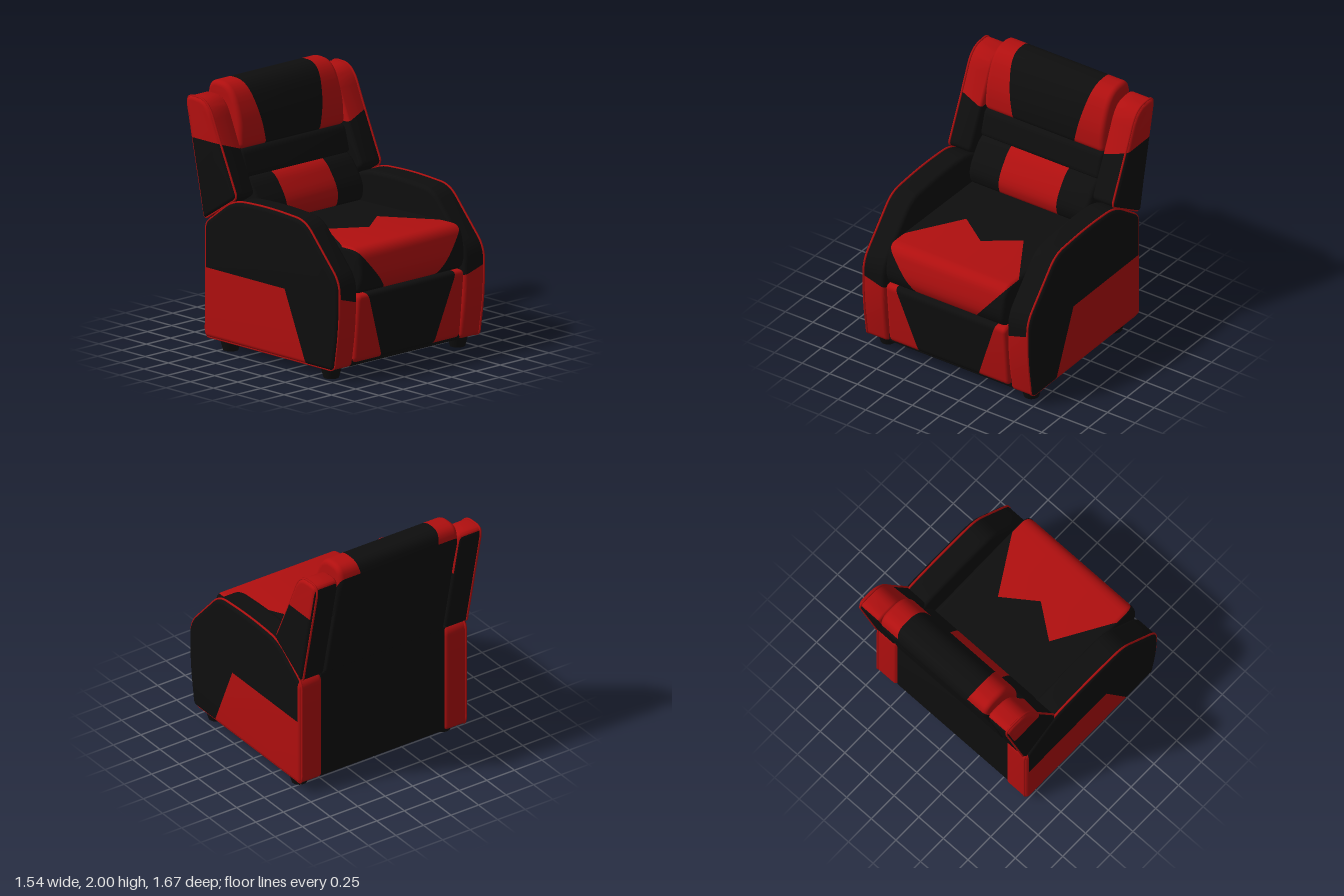
import * as THREE from 'three';
import { toCreasedNormals } from 'three/addons/utils/BufferGeometryUtils.js';

const black = new THREE.MeshStandardMaterial({ color: 0x0e0e0e });
black.name = 'black leather';
const red = new THREE.MeshStandardMaterial({ color: 0xb00f0f });
red.name = 'red leather';

// Closed outline in (z, y) with rounded corners; each point is [z, y, radius]
function outline(points) {
  const shape = new THREE.Shape();
  const n = points.length;
  points.forEach(([z, y, r], i) => {
    const p = new THREE.Vector2(z, y);
    const toward = ([qz, qy]) => {
      const d = new THREE.Vector2(qz, qy).sub(p);
      return p.clone().addScaledVector(d.normalize(), Math.min(r, 0.49 * Math.hypot(qz - z, qy - y)));
    };
    const a = toward(points[(i + n - 1) % n]);
    const b = toward(points[(i + 1) % n]);
    if (i === 0) shape.moveTo(a.x, a.y);
    else shape.lineTo(a.x, a.y);
    shape.quadraticCurveTo(z, y, b.x, b.y);
  });
  shape.closePath();
  return shape;
}

// Padded block: the outline extruded from x0 to x1 with soft edges
function padded(points, x0, x1, bevel) {
  const geo = new THREE.ExtrudeGeometry(outline(points), {
    depth: x1 - x0 - 2 * bevel, curveSegments: 8, bevelSegments: 5,
    bevelSize: bevel, bevelThickness: bevel, bevelOffset: -bevel,
  });
  geo.rotateY(-Math.PI / 2).translate(x1 - bevel, 0, 0);
  return toCreasedNormals(geo, 0.6);
}

// Cut a polygon by a linear function, returning its [positive, negative] pieces
function cut(poly, f) {
  const inside = [], outside = [];
  poly.forEach((a, i) => {
    const b = poly[(i + 1) % poly.length];
    const fa = f(a.p), fb = f(b.p);
    (fa >= 0 ? inside : outside).push(a);
    if ((fa >= 0) !== (fb >= 0)) {
      const t = fa / (fa - fb);
      const v = { p: a.p.clone().lerp(b.p, t), n: a.n.clone().lerp(b.n, t).normalize() };
      inside.push(v);
      outside.push(v);
    }
  });
  return [inside, outside];
}

// Two-tone upholstery: faces within any region (a list of linear limits) turn red.
// side = -1 mirrors the finished part.
function upholster(name, geo, regions = [], side = 1) {
  const pos = geo.attributes.position, nor = geo.attributes.normal;
  let plain = [];
  const painted = [];
  for (let i = 0; i < pos.count; i += 3) {
    plain.push([0, 1, 2].map((k) => ({
      p: new THREE.Vector3().fromBufferAttribute(pos, i + k),
      n: new THREE.Vector3().fromBufferAttribute(nor, i + k),
    })));
  }
  for (const limits of regions) {
    const rest = [];
    for (let poly of plain) {
      for (const f of limits) {
        const [inside, outside] = cut(poly, f);
        if (outside.length > 2) rest.push(outside);
        poly = inside;
        if (poly.length < 3) break;
      }
      if (poly.length > 2) painted.push(poly);
    }
    plain = rest;
  }
  const P = [], N = [];
  const out = new THREE.BufferGeometry();
  [plain, painted].forEach((polys, m) => {
    const start = P.length / 3;
    for (const poly of polys) {
      for (let k = 1; k < poly.length - 1; k++) {
        const tri = side > 0 ? [poly[0], poly[k], poly[k + 1]] : [poly[0], poly[k + 1], poly[k]];
        for (const { p, n } of tri) {
          P.push(p.x * side, p.y, p.z);
          N.push(n.x * side, n.y, n.z);
        }
      }
    }
    out.addGroup(start, P.length / 3 - start, m);
  });
  out.setAttribute('position', new THREE.Float32BufferAttribute(P, 3));
  out.setAttribute('normal', new THREE.Float32BufferAttribute(N, 3));
  const mesh = new THREE.Mesh(out, [black, red]);
  mesh.name = name;
  return mesh;
}

// Red cord following an outline at a given x
function piping(name, points, x) {
  const path = outline(points).getSpacedPoints(90).slice(0, -1).map((p) => new THREE.Vector3(x, p.y, p.x));
  const curve = new THREE.CatmullRomCurve3(path, true);
  const mesh = new THREE.Mesh(new THREE.TubeGeometry(curve, 180, 0.009, 6, true), red);
  mesh.name = name;
  return mesh;
}

const armOutline = [
  [0.765, 0.09, 0.04], [0.815, 0.42, 0.15], [0.82, 0.78, 0.1], [0.45, 1.19, 0.1], [0.05, 1.215, 0.2],
  [-0.32, 1.195, 0.12], [-0.625, 0.965, 0.05], [-0.625, 0.09, 0.035],
];
const wingOutline = [
  [-0.29, 1.215, 0.04], [-0.49, 1.65, 0.15], [-0.6, 1.91, 0.15], [-0.8, 1.92, 0.06],
  [-0.825, 1.87, 0.05], [-0.635, 0.995, 0.03],
];
const seatOutline = [
  [0.8, 0.65, 0.04], [0.845, 0.76, 0.1], [0.795, 0.995, 0.09], [0.55, 0.99, 0.1],
  [-0.42, 0.97, 0.05], [-0.42, 0.65, 0.05],
];
const pillowOutline = [
  [-0.46, 1.515, 0.05], [-0.47, 1.74, 0.15], [-0.58, 2.0, 0.15], [-0.8, 2.005, 0.08],
  [-0.84, 1.88, 0.07], [-0.75, 1.515, 0.05],
];

export function createModel() {
  const chair = new THREE.Group();
  chair.name = 'recliner';

  // Body between the arms, with the lower back panel
  const body = [
    [-0.61, 0.085, 0.02], [0.745, 0.085, 0.02], [0.76, 0.62, 0.02],
    [-0.4, 0.66, 0.02], [-0.45, 1.0, 0.02], [-0.61, 1.0, 0.02],
  ];
  chair.add(upholster('body', padded(body, -0.565, 0.565, 0.01)));

  // Footrest with red corners
  const footrest = [[0.775, 0.11, 0.05], [0.825, 0.645, 0.05], [0.6, 0.645, 0.05], [0.6, 0.11, 0.05]];
  chair.add(upholster('footrest', padded(footrest, -0.545, 0.545, 0.03), [1, -1].map((s) => [
    (p) => s * p.x - (0.27 + (p.y - 0.12) * 0.346),
  ])));

  // Seat cushion with a notched red front
  chair.add(upholster('seatCushion', padded(seatOutline, -0.54, 0.54, 0.035), [1, -1].map((s) => [
    (p) => s * p.x,
    (p) => p.z - (0.36 - s * p.x * 0.73),
    (p) => p.z - (0.17 + (s * p.x - 0.26) * 1.667),
    (p) => 0.26 + (p.y - 0.65) * 0.82 - s * p.x,
  ])));

  // Backrest shell, middle panel, lumbar cushion and head pillow
  const shell = [
    [-0.4, 0.98, 0.03], [-0.55, 1.88, 0.03], [-0.825, 1.88, 0.03], [-0.635, 0.99, 0.03],
  ];
  chair.add(upholster('backrestShell', padded(shell, -0.535, 0.535, 0.02)));
  const middle = [[-0.4, 1.31, 0.04], [-0.46, 1.525, 0.05], [-0.62, 1.525, 0.04], [-0.6, 1.31, 0.04]];
  chair.add(upholster('middlePanel', padded(middle, -0.54, 0.54, 0.03)));
  const lumbar = [
    [-0.27, 0.96, 0.05], [-0.24, 1.1, 0.12], [-0.4, 1.325, 0.1], [-0.58, 1.325, 0.04], [-0.55, 0.96, 0.04],
  ];
  chair.add(upholster('lumbarCushion', padded(lumbar, -0.54, 0.54, 0.035), [
    [(p) => 0.262 - p.x, (p) => p.x + 0.262],
  ]));
  chair.add(upholster('headPillow', padded(pillowOutline, -0.54, 0.54, 0.04), [1, -1].map((s) => [
    (p) => s * p.x - (0.275 + (p.y - 1.52) * 0.2),
    (p) => p.z + 0.82 + (p.y - 1.89) * 0.6,
  ])));

  for (const s of [1, -1]) {
    const label = s > 0 ? 'left' : 'right';

    // Arm: red front foot, rear side panel, back edge and underside
    chair.add(upholster(label + 'Arm', padded(armOutline, 0.555, 0.768, 0.032), [
      [(p) => p.z - 0.6, (p) => 0.738 - p.x, (p) => 0.6 + (p.x - 0.57) * 0.3 - p.y],
      [(p) => p.x - 0.66, (p) => 0.63 - p.y, (p) => 0.25 + (0.63 - p.y) * 0.426 - p.z],
      [(p) => -0.6 - p.z],
      [(p) => 0.094 - p.y],
    ], s));
    chair.add(piping(label + 'ArmPiping', armOutline, s * 0.743));

    // Backrest wing with a red upper part
    chair.add(upholster(label + 'Wing', padded(wingOutline, 0.55, 0.765, 0.03), [
      [(p) => p.y - (1.54 + (p.x - 0.57) * 0.33), (p) => p.z + 0.812 + (p.y - 1.87) * 0.218],
    ], s));
    chair.add(piping(label + 'WingPiping', wingOutline, s * 0.742));

    // Tapered feet
    for (const [end, z] of [['Front', 0.63], ['Back', -0.455]]) {
      const foot = new THREE.Mesh(new THREE.CylinderGeometry(0.085, 0.058, 0.1, 24), black);
      foot.name = label + end + 'Foot';
      foot.position.set(s * 0.65, 0.05, z);
      chair.add(foot);
    }
  }
  return chair;
}
